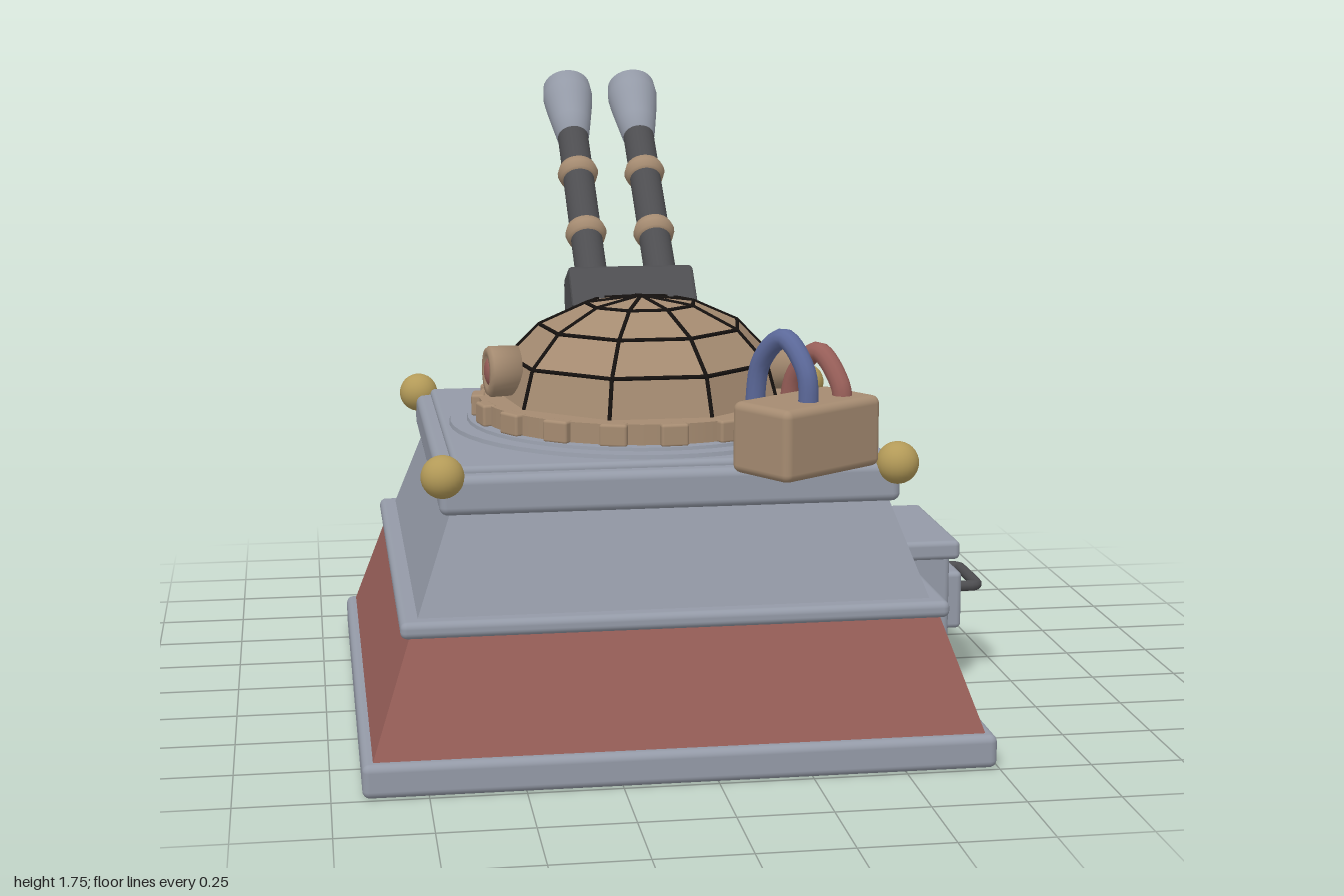
import * as THREE from 'three';
import { RoundedBoxGeometry } from 'three/addons/geometries/RoundedBoxGeometry.js';

const mat = (name, color, extra = {}) => Object.assign(new THREE.MeshStandardMaterial({ color, ...extra }), { name });
const V = (x, y, z) => new THREE.Vector3(x, y, z);
const CX = -0.087, CZ = 0.163; // centre of the stepped base

export function createModel() {
  const grey = mat('steel grey', 0x949aa7);
  const red = mat('brick red', 0x985f59);
  const dark = mat('gunmetal', 0x4d4d50);
  const tan = mat('bronze tan', 0xa58b71);
  const tanFlat = mat('dome tan', 0xa58b71, { flatShading: true });
  const gold = mat('brass', 0xb39a58);
  const blue = mat('cable blue', 0x5c699a);
  const black = mat('seam black', 0x15110f);
  const hole = mat('vent dark', 0x3a2f32);

  const model = new THREE.Group();
  const add = (name, geo, m, x = 0, y = 0, z = 0, parent = model) => {
    const mesh = new THREE.Mesh(geo, m);
    mesh.name = name;
    mesh.position.set(x, y, z);
    parent.add(mesh);
    return mesh;
  };
  const rbox = (w, h, d, r = 0.02) => new RoundedBoxGeometry(w, h, d, 3, r);
  // rod between two points
  const rod = (name, a, b, r0, r1, m, seg = 16, parent = model) => {
    const mesh = add(name, new THREE.CylinderGeometry(r1, r0, a.distanceTo(b), seg), m, 0, 0, 0, parent);
    mesh.position.copy(a).lerp(b, 0.5);
    mesh.quaternion.setFromUnitVectors(V(0, 1, 0), b.clone().sub(a).normalize());
    return mesh;
  };

  // stepped base: square slabs and tapered walls
  const slab = (name, half, y0, y1, r) =>
    add(name, rbox(half * 2, y1 - y0, half * 2, r), grey, CX, (y0 + y1) / 2, CZ);
  const taper = (name, h0, h1, y0, y1, m) => {
    const g = new THREE.CylinderGeometry(h1 * Math.SQRT2, h0 * Math.SQRT2, y1 - y0, 4, 1).rotateY(Math.PI / 4).toNonIndexed();
    g.computeVertexNormals();
    add(name, g, m, CX, (y0 + y1) / 2, CZ);
  };
  slab('basePlate', 0.833, 0, 0.09, 0.02);
  taper('lowerWall', 0.805, 0.7, 0.088, 0.39, red);
  slab('middleRim', 0.725, 0.385, 0.43, 0.018);
  taper('upperWall', 0.68, 0.583, 0.425, 0.69, grey);
  slab('topRim', 0.613, 0.68, 0.785, 0.022);
  slab('topDeck', 0.57, 0.72, 0.802, 0.015);

  // brass corner balls
  for (const sx of [-1, 1]) for (const sz of [-1, 1])
    add('cornerBall', new THREE.SphereGeometry(0.057, 24, 16), gold, CX + sx * 0.604, 0.785, CZ + sz * 0.602);

  // rivets on the left side rim
  for (const z of [0.525, 0.17, -0.18])
    add('rivet', new THREE.SphereGeometry(0.02, 12, 8), grey, 0.53, 0.725, z);

  // vent holes on the left side and the back, lying on the sloped wall
  const tilt = Math.atan2(0.097, 0.265);
  for (const side of ['left', 'back']) {
    for (const [y, mid, pitch] of [[0.615, 0.02, 0.0767], [0.49, -0.02, 0.0855]]) {
      const out = 0.68 - (y - 0.425) * 0.097 / 0.265 + 0.001;
      for (let i = -5; i <= 5; i++) {
        const t = i * pitch + mid;
        const g = new THREE.CylinderGeometry(0.026, 0.026, 0.008, 8);
        if (side === 'left') add('ventHole', g.rotateZ(-Math.PI / 2 + tilt), hole, CX + out, y, CZ + t);
        else add('ventHole', g.rotateX(-Math.PI / 2 + tilt), hole, CX + t, y, CZ - out);
      }
    }
  }

  // turret ring and notched flange
  const turret = new THREE.Group();
  turret.name = 'turret';
  turret.position.set(CX, 0, CZ);
  model.add(turret);
  add('turretRingOuter', new THREE.CylinderGeometry(0.545, 0.55, 0.02, 48), grey, 0, 0.803, 0, turret);
  add('turretRingInner', new THREE.CylinderGeometry(0.495, 0.5, 0.02, 48), grey, 0, 0.812, 0, turret);
  add('flange', new THREE.CylinderGeometry(0.462, 0.462, 0.06, 48), tan, 0, 0.848, 0, turret);
  for (let i = 0; i < 18; i++) {
    const a = THREE.MathUtils.degToRad(7 + i * 20);
    const b = add('flangeBlock', rbox(0.04, 0.062, 0.075, 0.008), tan, Math.cos(a) * 0.463, 0.85, Math.sin(a) * 0.463, turret);
    b.rotation.y = -a;
  }

  // nine-sided faceted dome with dark seams along its edges
  const domePoint = (i, j) => {
    const a = (i + 0.5) * Math.PI * 2 / 9, p = j * Math.PI / 8;
    return V(Math.sin(a) * Math.cos(p) * 0.41, 0.878 + Math.sin(p) * 0.28, Math.cos(a) * Math.cos(p) * 0.41);
  };
  const pos = [];
  const tri = (...ps) => ps.forEach(p => pos.push(p.x, p.y, p.z));
  for (let i = 0; i < 9; i++) for (let j = 0; j < 4; j++) {
    const a = domePoint(i, j), b = domePoint(i + 1, j), c = domePoint(i + 1, j + 1), d = domePoint(i, j + 1);
    tri(a, b, d);
    if (j < 3) tri(b, c, d);
    rod('domeSeam', a, d, 0.006, 0.006, black, 6, turret);
    if (j > 0) rod('domeSeam', a, b, 0.006, 0.006, black, 6, turret);
  }
  const domeGeo = new THREE.BufferGeometry();
  domeGeo.setAttribute('position', new THREE.Float32BufferAttribute(pos, 3));
  domeGeo.computeVertexNormals();
  add('dome', domeGeo, tanFlat, 0, 0, 0, turret);

  // round side lamps
  for (const s of [-1, 1]) {
    const lamp = new THREE.Group();
    lamp.name = 'sideLamp';
    lamp.position.set(s * 0.405, 0.96, 0.045);
    lamp.rotation.y = s * THREE.MathUtils.degToRad(83);
    turret.add(lamp);
    const ring = [[0.001, -0.05], [0.07, -0.05], [0.072, 0.03], [0.064, 0.04], [0.046, 0.04], [0.04, 0.03], [0.001, 0.03]];
    add('lampRing', new THREE.LatheGeometry(ring.map(p => new THREE.Vector2(...p)), 24).rotateX(Math.PI / 2), tan, 0, 0, 0, lamp);
    add('lampLens', new THREE.SphereGeometry(0.039, 20, 12).scale(1, 1, 0.4), red, 0, 0, 0.03, lamp);
  }

  // gun mount: wedge profile extruded across
  const prof = new THREE.Shape([[0.07, 1.122], [-0.022, 1.205], [-0.035, 1.206], [-0.13, 1.165], [-0.137, 1.15], [-0.122, 1.075], [-0.04, 1.05]]
    .map(([z, y]) => new THREE.Vector2(-z, y)));
  const mountGeo = new THREE.ExtrudeGeometry(prof, { depth: 0.344, bevelSize: 0.01, bevelThickness: 0.01, bevelSegments: 2 });
  add('gunMount', mountGeo.translate(0, 0, -0.172).rotateY(Math.PI / 2), dark, -0.091, 0, 0);

  // twin barrels, built along +y then tilted back
  for (const x of [-0.193, 0.012]) {
    const gun = new THREE.Group();
    gun.name = 'gun';
    gun.position.set(x, 1.148, -0.09);
    gun.rotation.x = -THREE.MathUtils.degToRad(51.5);
    model.add(gun);
    add('barrel', new THREE.CylinderGeometry(0.047, 0.047, 0.72, 24), dark, 0, 0.32, 0, gun);
    for (const y of [0.222, 0.478]) {
      const band = [[0.045, -0.028], [0.055, -0.022], [0.062, 0], [0.055, 0.022], [0.045, 0.028]];
      add('barrelBand', new THREE.LatheGeometry(band.map(p => new THREE.Vector2(...p)), 24), tan, 0, y, 0, gun);
    }
    const muzzle = [[0.03, 0.64], [0.05, 0.64], [0.06, 0.7], [0.072, 0.775], [0.077, 0.82], [0.073, 0.868], [0.053, 0.868], [0.05, 0.74], [0.001, 0.74]];
    add('muzzle', new THREE.LatheGeometry(muzzle.map(p => new THREE.Vector2(...p)), 28), grey, 0, 0, 0, gun);
  }

  // cable box on the front corner
  const box = new THREE.Group();
  box.name = 'cableBox';
  box.position.set(0.265, 0.875, 0.785);
  box.rotation.y = 0.59;
  model.add(box);
  add('boxBody', rbox(0.355, 0.19, 0.21, 0.022), tan, 0, 0, 0, box);
  for (const [name, x, top, m] of [['blueCable', -0.03, 0.25, blue], ['redCable', 0.1, 0.2, red]]) {
    const path = new THREE.CatmullRomCurve3([V(x, 0.06, 0.035), V(x, top - 0.08, 0.025), V(x, top, -0.055),
      V(x, top - 0.07, -0.14), V(x, 0.04, -0.165), V(x, -0.07, -0.165)]);
    add(name, new THREE.TubeGeometry(path, 32, 0.027, 12), m, 0, 0, 0, box);
  }

  // side locker with lid, panel and handle
  add('lockerBody', rbox(0.3, 0.32, 0.42, 0.015), grey, 0.643, 0.25, 0.095);
  add('lockerLid', rbox(0.26, 0.055, 0.475, 0.015), grey, 0.687, 0.422, 0.09);
  add('lockerPanel', rbox(0.07, 0.17, 0.33, 0.015), grey, 0.807, 0.255, 0.097);
  const grip = new THREE.CatmullRomCurve3([V(0.83, 0.285, -0.01), V(0.89, 0.285, -0.012), V(0.905, 0.285, 0.01),
    V(0.905, 0.285, 0.19), V(0.89, 0.285, 0.212), V(0.83, 0.285, 0.21)], false, 'catmullrom', 0.2);
  add('lockerHandle', new THREE.TubeGeometry(grip, 40, 0.016, 10), dark);

  // rear gear drive
  add('gearPlate', rbox(0.665, 0.215, 0.11, 0.03), dark, -0.398, 0.222, -0.658);
  rod('axle', V(-0.76, 0.268, -0.847), V(-0.03, 0.268, -0.847), 0.038, 0.038, dark, 20);
  const teeth = 10, outline = [];
  for (let i = 0; i < teeth; i++)
    for (const [r, f] of [[0.113, -0.26], [0.143, -0.2], [0.143, 0.2], [0.113, 0.26]]) {
      const a = (i + f) * Math.PI * 2 / teeth;
      outline.push(new THREE.Vector2(Math.cos(a) * r, Math.sin(a) * r));
    }
  for (const x of [-0.587, -0.27]) {
    const g = new THREE.ExtrudeGeometry(new THREE.Shape(outline), { depth: 0.105, bevelEnabled: false });
    add('gear', g.translate(0, 0, -0.0525).rotateY(Math.PI / 2), tan, x, 0.268, -0.847);
  }

  // control lever
  rod('lever', V(-0.085, 0.262, -0.855), V(-0.03, 0.54, -0.938), 0.024, 0.015, dark);
  add('leverKnob', new THREE.SphereGeometry(0.033, 16, 12), dark, -0.03, 0.542, -0.938);

  return model;
}
